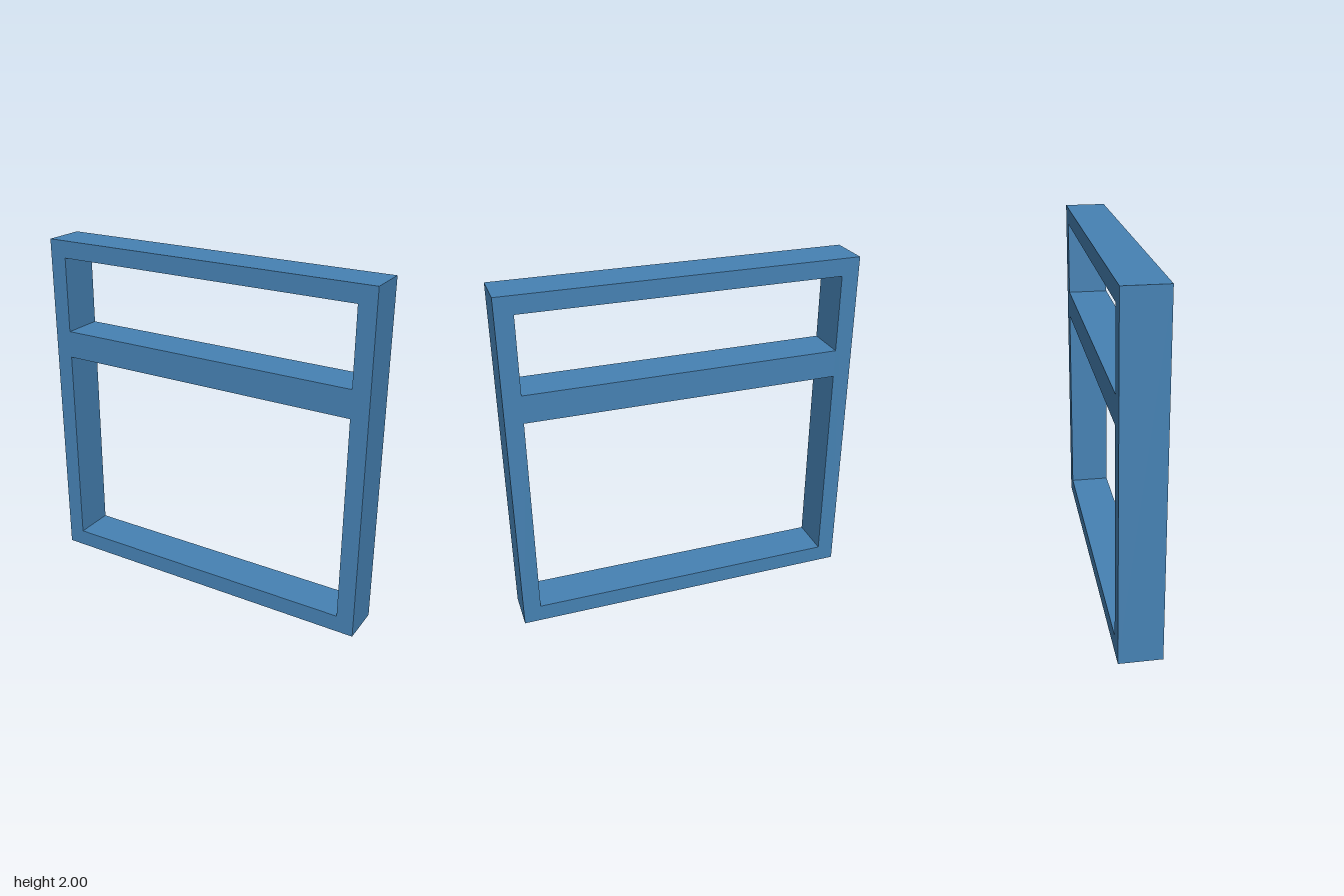
import * as THREE from 'three';

const DEPTH = 0.24;

// Adds a closed rectangle to a shape or path
function rect(path, x0, y0, x1, y1) {
  path.moveTo(x0, y0);
  path.lineTo(x1, y0);
  path.lineTo(x1, y1);
  path.lineTo(x0, y1);
  path.closePath();
  return path;
}

export function createModel() {
  const group = new THREE.Group();
  group.name = 'windowFrame';

  // Square outer frame, with the crossbar left between the two openings
  const outline = rect(new THREE.Shape(), -1, 0, 1, 2);
  const openings = [[0.1, 1.3], [1.46, 1.9]]; // bottom and top of each opening
  for (const [bottom, top] of openings) {
    outline.holes.push(rect(new THREE.Path(), -0.9, bottom, 0.9, top));
  }

  const geometry = new THREE.ExtrudeGeometry(outline, { depth: DEPTH, bevelEnabled: false });
  geometry.translate(0, 0, -DEPTH / 2);

  const frame = new THREE.Mesh(geometry, new THREE.MeshStandardMaterial({ color: 0x4682b4 }));
  frame.name = 'frameWithCrossbar';
  group.add(frame);
  return group;
}
